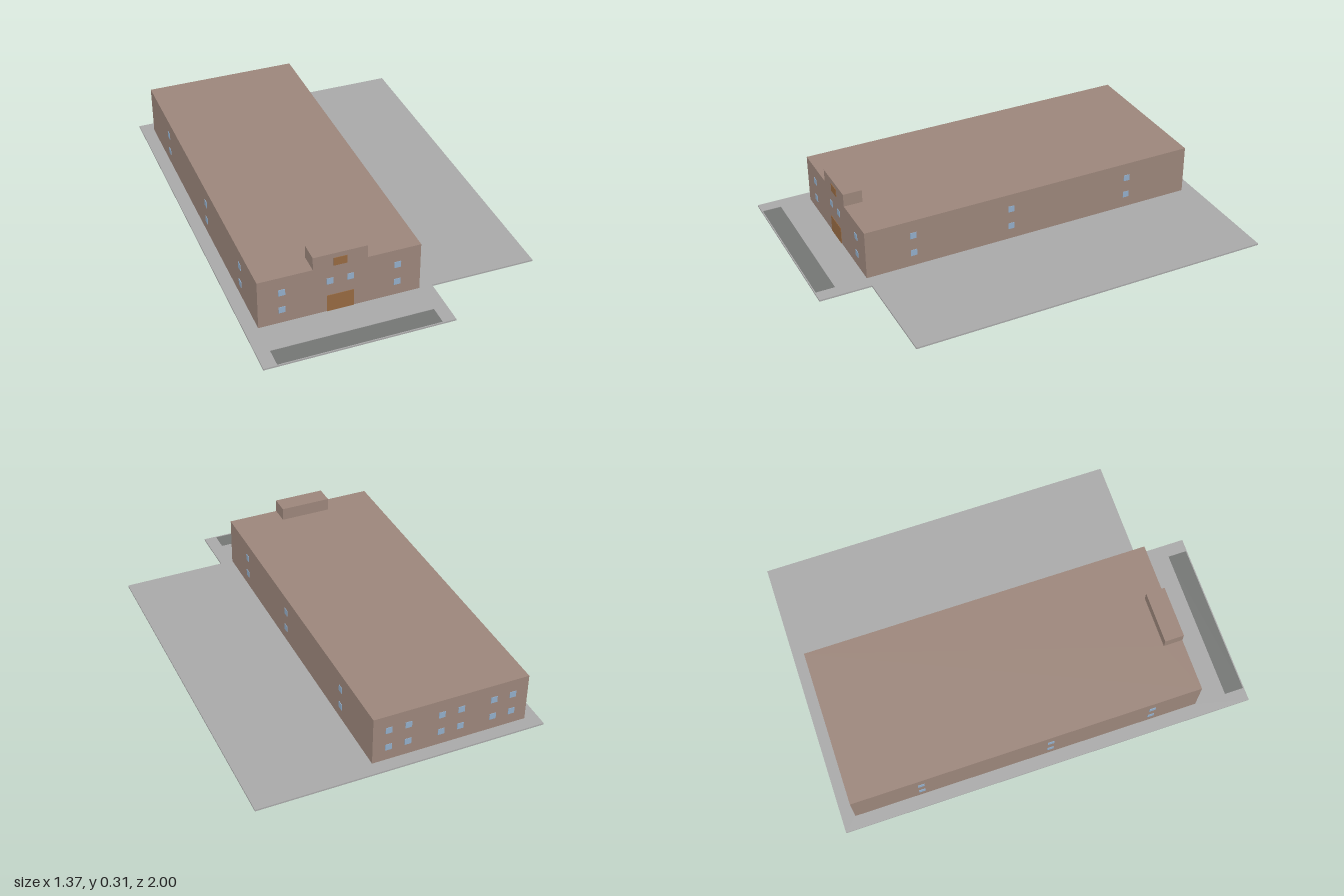
import * as THREE from 'three';

export function createModel() {
  const root = new THREE.Group();
  const mat = (name, color, side = THREE.FrontSide) => {
    const m = new THREE.MeshStandardMaterial({ color, side });
    m.name = name;
    return m;
  };
  const wallMat = mat('brown wall', 0x9c867b, THREE.DoubleSide);
  const paveMat = mat('grey paving', 0xa9a9a9);
  const stripMat = mat('dark strip', 0x747674);
  const glassMat = mat('blue glass', 0x92aeca);
  const doorMat = mat('door brown', 0x966941);

  // Building extents
  const X0 = -0.625, X1 = 0.125, Z0 = -0.937, Z1 = 0.75, H = 0.25;
  const CX = (X0 + X1) / 2, CZ = (Z0 + Z1) / 2;
  // Raised front block on the roof
  const PX0 = -0.375, PX1 = -0.125, PZ = 0.658, PH = 0.313;

  const add = (name, geo, material, parent = root) => {
    const m = new THREE.Mesh(geo, material);
    m.name = name;
    parent.add(m);
    return m;
  };
  const polygon = (pts, Type = THREE.Shape) => new Type(pts.map(p => new THREE.Vector2(...p)));
  const rect = (x0, y0, x1, y1) => [[x0, y0], [x1, y0], [x1, y1], [x0, y1]];

  // Paving slab with openings for the building and the front strip (shape y = -z)
  const slab = polygon([[-0.687, -1], [0.187, -1], [0.187, -Z1], [0.687, -Z1], [0.687, 1], [-0.687, 1]]);
  slab.holes.push(
    polygon(rect(X0, -Z1, X1, -Z0), THREE.Path),
    polygon(rect(X0, -0.995, X1, -0.903), THREE.Path));
  add('pavingSlab', new THREE.ExtrudeGeometry(slab, { depth: 0.008, bevelEnabled: false }).rotateX(-Math.PI / 2), paveMat);
  add('frontStrip', new THREE.BoxGeometry(X1 - X0, 0.006, 0.092), stripMat).position.set(CX, 0.003, 0.949);

  // Hollow building shell, open below
  const building = new THREE.Group();
  building.name = 'building';
  root.add(building);
  const front = polygon([[X0, 0], [X1, 0], [X1, H], [PX1, H], [PX1, PH], [PX0, PH], [PX0, H], [X0, H]]);
  add('frontWall', new THREE.ShapeGeometry(front), wallMat, building).position.z = Z1;
  const roof = polygon([[X0, -Z1], [PX0, -Z1], [PX0, -PZ], [PX1, -PZ], [PX1, -Z1], [X1, -Z1], [X1, -Z0], [X0, -Z0]]);
  add('roof', new THREE.ShapeGeometry(roof).rotateX(-Math.PI / 2), wallMat, building).position.y = H;

  const panel = (name, w, h, pos, rx, ry) => {
    const m = add(name, new THREE.PlaneGeometry(w, h), wallMat, building);
    m.position.set(...pos);
    m.rotation.set(rx, ry, 0);
  };
  const Q = Math.PI / 2;
  panel('backWall', X1 - X0, H, [CX, H / 2, Z0], 0, Math.PI);
  panel('leftWall', Z1 - Z0, H, [X1, H / 2, CZ], 0, Q);
  panel('rightWall', Z1 - Z0, H, [X0, H / 2, CZ], 0, -Q);

  // Raised block
  const py = (H + PH) / 2, pz = (PZ + Z1) / 2;
  panel('blockTop', PX1 - PX0, Z1 - PZ, [CX, PH, pz], -Q, 0);
  panel('blockBack', PX1 - PX0, PH - H, [CX, py, PZ], 0, Math.PI);
  panel('blockLeft', Z1 - PZ, PH - H, [PX1, py, pz], 0, Q);
  panel('blockRight', Z1 - PZ, PH - H, [PX0, py, pz], 0, -Q);

  // Door and hatch, thin plates showing on both faces of the wall
  const T = 0.005;
  add('frontDoor', new THREE.BoxGeometry(0.125, 0.086, T), doorMat).position.set(CX, 0.051, Z1);
  add('upperHatch', new THREE.BoxGeometry(0.062, 0.04, T), doorMat).position.set(CX, 0.269, Z1);

  // Windows
  const S = 0.031, LOW = 0.078, HIGH = 0.171;
  const faceGeo = new THREE.BoxGeometry(S, S, T);
  const sideGeo = new THREE.BoxGeometry(T, S, S);
  const window_ = (name, geo, x, y, z) => add(name, geo, glassMat).position.set(x, y, z);
  for (const s of [-1, 1]) {
    window_('frontWindow', faceGeo, CX + s * 0.047, HIGH, Z1);
    for (const y of [LOW, HIGH]) {
      window_('frontWindow', faceGeo, CX + s * 0.266, y, Z1);
      for (const d of [0.047, 0.207, 0.3]) window_('backWindow', faceGeo, CX + s * d, y, Z0);
      for (const z of [0.515, 0.017, -0.608]) window_('sideWindow', sideGeo, s > 0 ? X1 : X0, y, z);
    }
  }
  return root;
}
